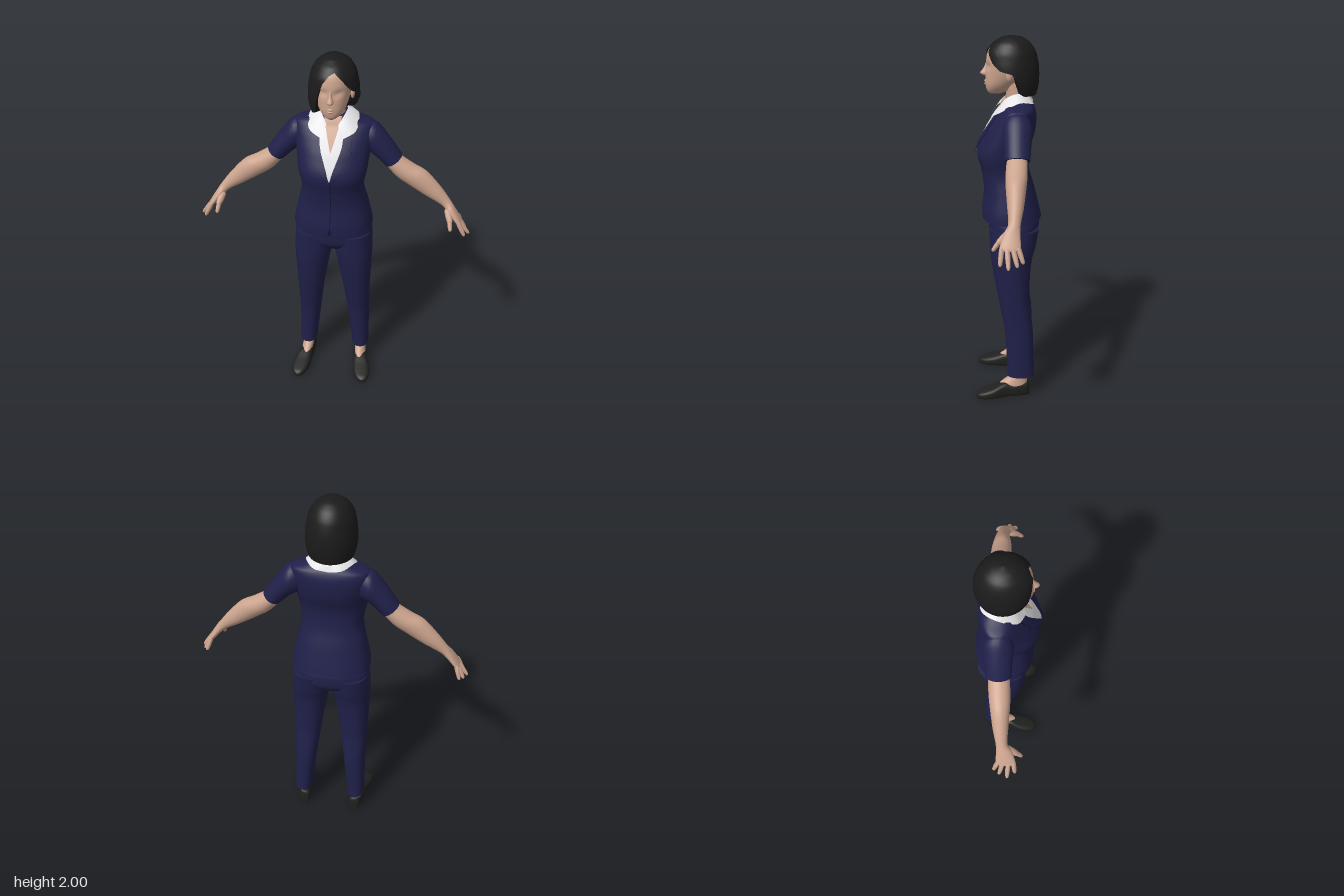
import * as THREE from 'three';

const V = (x, y, z) => new THREE.Vector3(x, y, z);
const mat = (name, color, side = THREE.FrontSide) => {
  const m = new THREE.MeshStandardMaterial({ color, side });
  m.name = name;
  return m;
};

// Smoothly resample a table of rows, k steps per interval
function dense(rows, k = 5) {
  const out = [];
  for (let i = 0; i < rows.length - 1; i++) {
    const [a, b, c, d] = [i - 1, i, i + 1, i + 2].map(j => rows[Math.min(Math.max(j, 0), rows.length - 1)]);
    for (let s = 0; s < k; s++) {
      const t = s / k;
      out.push(b.map((_, q) => 0.5 * (2 * b[q] + (c[q] - a[q]) * t + (2 * a[q] - 5 * b[q] + 4 * c[q] - d[q]) * t * t
        + (3 * b[q] - a[q] - 3 * c[q] + d[q]) * t * t * t)));
    }
  }
  out.push(rows[rows.length - 1]);
  return out;
}

// Linear lookup in a table whose first column rises
function at(rows, y) {
  let i = 0;
  while (i < rows.length - 2 && rows[i + 1][0] < y) i++;
  const t = Math.min(Math.max((y - rows[i][0]) / (rows[i + 1][0] - rows[i][0]), 0), 1);
  return rows[i].map((a, q) => a + (rows[i + 1][q] - a) * t);
}

const pow = (a, e) => Math.sign(a) * Math.abs(a) ** e;

// Superellipse ring around centre c with half axes u and v
function ring(c, u, v, e = 1, n = 32) {
  return Array.from({ length: n }, (_, j) => {
    const a = j / n * Math.PI * 2;
    return c.clone().addScaledVector(u, pow(Math.cos(a), e)).addScaledVector(v, pow(Math.sin(a), e));
  });
}

function meshFrom(name, pts, idx, material) {
  const g = new THREE.BufferGeometry().setFromPoints(pts);
  g.setIndex(idx);
  g.computeVertexNormals();
  const m = new THREE.Mesh(g, material);
  m.name = name;
  return m;
}

// Closed skin over a list of rings, turned so it faces outward
function loft(name, rings, material) {
  const n = rings[0].length, pts = rings.flat(), idx = [];
  for (let i = 0; i < rings.length - 1; i++) for (let j = 0; j < n; j++) {
    const a = i * n + j, b = i * n + (j + 1) % n;
    idx.push(a, b, a + n, b, b + n, a + n);
  }
  [rings[0], rings[rings.length - 1]].forEach((r, e) => {
    const base = pts.length;
    pts.push(...r.map(p => p.clone()), r.reduce((s, p) => s.add(p), V(0, 0, 0)).divideScalar(n));
    for (let j = 0; j < n; j++) {
      const a = base + j, b = base + (j + 1) % n;
      idx.push(base + n, e ? a : b, e ? b : a);
    }
  });
  let vol = 0;
  for (let i = 0; i < idx.length; i += 3) vol += pts[idx[i]].dot(pts[idx[i + 1]].clone().cross(pts[idx[i + 2]]));
  return meshFrom(name, pts, vol < 0 ? idx.reverse() : idx, material);
}

// Upright form from rows [y, halfWidth, zFront, zBack, centreX]
const body = (name, rows, m, e = 1, n = 40) => loft(name, dense(rows).map(([y, w, f, b, x = 0]) =>
  ring(V(x, y, (f + b) / 2), V(w, 0, 0), V(0, 0, (f - b) / 2), e, n)), m);

// Limb from rows [topX, topY, bottomX, bottomY, centreZ, halfDepth]
const limb = (name, rows, m, e = 1) => loft(name, dense(rows).map(([x1, y1, x2, y2, z, h]) =>
  ring(V((x1 + x2) / 2, (y1 + y2) / 2, z), V((x1 - x2) / 2, (y1 - y2) / 2, 0), V(0, 0, h), e, 24)), m);

// Rounded finger segment from p to q
function finger(name, p, q, r, m) {
  const d = q.clone().sub(p), u = d.clone().normalize().cross(V(0, 0.3, 1)).normalize(), v = d.clone().normalize().cross(u);
  return loft(name, [[0, 0.7], [0.1, 1], [0.5, 1], [0.85, 0.8], [0.96, 0.55], [1, 0.15]].map(([t, s]) =>
    ring(p.clone().addScaledVector(d, t), u.clone().multiplyScalar(r * s), v.clone().multiplyScalar(r * s), 1, 10)), m);
}

// Grid of points, counted along rows
function sheet(name, grid, m) {
  const n = grid[0].length, idx = [];
  for (let i = 0; i < grid.length - 1; i++) for (let j = 0; j < n - 1; j++) {
    const a = i * n + j;
    idx.push(a, a + n, a + 1, a + 1, a + n, a + n + 1);
  }
  return meshFrom(name, grid.flat(), idx, m);
}

function mirrored(mesh) {
  const g = mesh.geometry.clone().scale(-1, 1, 1);
  g.setIndex(Array.from(g.index.array).reverse());
  const m = new THREE.Mesh(g, mesh.material);
  m.name = mesh.name.replace('left', 'right');
  return m;
}

export function createModel() {
  const navy = mat('navy cloth', 0x20204a), seam = mat('dark seam', 0x14142e), skin = mat('skin', 0xcba38d);
  const black = mat('black hair', 0x1b1b1b), leather = mat('shoe leather', 0x20201e);
  const white = mat('white shirt', 0xe4e4e6, THREE.DoubleSide);
  const model = new THREE.Group();
  model.name = 'woman in suit';
  const add = (...m) => model.add(...m);
  const pair = (...ms) => ms.forEach(m => add(m, mirrored(m)));

  // Jacket body
  const torso = [[1.045, 0.212, 0.14, -0.178], [1.1, 0.205, 0.14, -0.165], [1.2, 0.182, 0.13, -0.14], [1.3, 0.162, 0.142, -0.112],
    [1.4, 0.178, 0.163, -0.108], [1.5, 0.19, 0.125, -0.138], [1.57, 0.2, 0.085, -0.147], [1.61, 0.203, 0.058, -0.145],
    [1.64, 0.195, 0.035, -0.135], [1.66, 0.14, 0.025, -0.122], [1.68, 0.09, 0.013, -0.112], [1.69, 0.05, -0.005, -0.095]];
  const E = 0.85, torsoRows = dense(torso);
  add(body('jacket', torso, navy, E, 48));

  // Thin panels that follow the jacket front, from rows [y, xLeft, xRight]
  const frontZ = (x, y) => {
    const [, w, f, b] = at(torsoRows, y), c = Math.min(Math.abs(x) / w, 1) ** (1 / E);
    return (f + b) / 2 + (f - b) / 2 * Math.sqrt(1 - c * c) ** E;
  };
  const panel = (name, rows, off, m) => {
    const grid = [];
    for (let i = 0; i <= 32; i++) {
      const y = rows[0][0] + (rows[rows.length - 1][0] - rows[0][0]) * i / 32, [, a, b] = at(rows, y);
      grid.push(Array.from({ length: 13 }, (_, j) => {
        const x = a + (b - a) * j / 12;
        return V(x, y, frontZ(x, y) + off);
      }));
    }
    return sheet(name, grid.reverse(), m);
  };
  add(panel('shirt front', [[1.392, -0.002, 0.008], [1.5, -0.042, 0.042], [1.6, -0.068, 0.068], [1.665, -0.07, 0.07]], 0.004, white));
  add(panel('open neckline', [[1.53, -0.001, 0.001], [1.64, -0.034, 0.034], [1.685, -0.045, 0.045]], 0.008, skin));
  add(panel('jacket closing', [[1.046, -0.014, 0.008], [1.085, -0.002, 0.002], [1.39, 0.004, 0.008]], 0.003, seam));
  const lapel = [[1.385, 0.0, 0.012], [1.45, 0.018, 0.055], [1.5, 0.037, 0.085], [1.53, 0.048, 0.106], [1.545, 0.052, 0.09],
    [1.56, 0.056, 0.1], [1.62, 0.062, 0.1]];
  pair(panel('left lapel edge', lapel.map(([y, a, b]) => [y, a, b + 0.004]), 0.008, seam), panel('left lapel', lapel, 0.011, navy));

  // Shirt collar, half a band from the nape to the front point
  const curve = pts => new THREE.CatmullRomCurve3(pts.map(p => V(...p))).getPoints(20);
  const upper = curve([[0, 1.7, -0.108], [0.05, 1.71, -0.088], [0.068, 1.712, -0.04], [0.055, 1.69, 0.008], [0.03, 1.65, 0.04]]);
  const lower = curve([[0, 1.652, -0.13], [0.07, 1.662, -0.126], [0.122, 1.676, -0.06], [0.118, 1.625, 0.046], [0.045, 1.59, 0.09]]);
  pair(sheet('left collar', [upper, upper.map((p, i) => p.clone().lerp(lower[i], 0.5).add(V(0, 0.006, 0))), lower], white));

  // Sleeves and arms
  pair(limb('left sleeve', [[0.13, 1.62, 0.13, 1.49, -0.045, 0.05], [0.205, 1.638, 0.18, 1.475, -0.047, 0.075],
    [0.282, 1.555, 0.225, 1.44, -0.046, 0.069], [0.35, 1.458, 0.266, 1.4, -0.045, 0.064]], navy));
  pair(limb('left arm', [[0.32, 1.475, 0.255, 1.42, -0.045, 0.05], [0.346, 1.45, 0.275, 1.395, -0.043, 0.052],
    [0.42, 1.405, 0.325, 1.34, -0.04, 0.054], [0.485, 1.37, 0.39, 1.295, -0.037, 0.05], [0.56, 1.29, 0.48, 1.238, -0.034, 0.04],
    [0.612, 1.222, 0.57, 1.187, -0.028, 0.03], [0.638, 1.185, 0.605, 1.155, -0.016, 0.04],
    [0.674, 1.128, 0.65, 1.105, -0.008, 0.05], [0.684, 1.108, 0.665, 1.094, -0.008, 0.045]], skin));
  [[-0.045, 0.69, 1.045, -0.07], [-0.02, 0.712, 1.036, -0.042], [0.006, 0.73, 1.03, 0], [0.031, 0.705, 1.038, 0.04]].forEach(([z, x, y, tz]) =>
    pair(finger('left finger', V(0.665, 1.118, z), V(x, y, tz), 0.0125, skin)));
  pair(finger('left thumb base', V(0.605, 1.172, -0.005), V(0.625, 1.118, 0.055), 0.018, skin));
  pair(finger('left thumb', V(0.62, 1.132, 0.042), V(0.628, 1.085, 0.076), 0.012, skin));

  // Trousers
  add(body('trouser seat', [[1.1, 0.17, 0.09, -0.13], [1.04, 0.2, 0.108, -0.162], [1.0, 0.209, 0.106, -0.168],
    [0.95, 0.208, 0.1, -0.16], [0.91, 0.17, 0.075, -0.125], [0.885, 0.1, 0.04, -0.08]], navy, 0.9));
  const leg = [[1.0, 0.0, 0.207, 0.1, -0.165], [0.9, 0.002, 0.215, 0.097, -0.148], [0.8, 0.022, 0.213, 0.088, -0.125],
    [0.6, 0.055, 0.207, 0.054, -0.115], [0.5, 0.068, 0.205, 0.035, -0.126], [0.4, 0.08, 0.204, 0.018, -0.137],
    [0.2, 0.102, 0.206, 0.006, -0.142], [0.13, 0.108, 0.207, 0.005, -0.145]];
  pair(body('left trouser leg', leg.map(([y, a, b, f, k]) => [y, (b - a) / 2, f, k, (a + b) / 2]), navy, 0.88));

  // Feet and shoes
  pair(body('left ankle', [[0.2, 0.03, -0.03, -0.11, 0.157], [0.13, 0.03, -0.015, -0.11, 0.157], [0.1, 0.031, 0.02, -0.108, 0.159],
    [0.075, 0.032, 0.05, -0.105, 0.163], [0.04, 0.032, 0.06, -0.1, 0.165]], skin));
  const shoe = [[-0.12, 0.15, 0.01, 0.06], [-0.11, 0.152, 0.03, 0.086], [-0.07, 0.157, 0.038, 0.086], [-0.02, 0.163, 0.04, 0.082],
    [0.02, 0.168, 0.042, 0.088], [0.08, 0.18, 0.05, 0.066], [0.13, 0.187, 0.046, 0.05], [0.165, 0.192, 0.031, 0.038], [0.18, 0.193, 0.012, 0.026]];
  pair(loft('left shoe', dense(shoe).map(([z, x, w, h]) => ring(V(x, h / 2, z), V(w, 0, 0), V(0, h / 2, 0), 0.65, 28)), leather));

  // Neck and head with shallow eye sockets
  add(body('neck', [[1.58, 0.05, 0.03, -0.09], [1.64, 0.056, 0.02, -0.1], [1.69, 0.055, 0.01, -0.1], [1.74, 0.053, 0.015, -0.095],
    [1.8, 0.05, 0.02, -0.09]], skin));
  const head = body('head', [[1.705, 0.02, 0.095, 0.04], [1.72, 0.042, 0.109, 0.0], [1.75, 0.064, 0.116, -0.03], [1.79, 0.08, 0.117, -0.08],
    [1.84, 0.09, 0.114, -0.11], [1.89, 0.093, 0.11, -0.12], [1.93, 0.088, 0.098, -0.115], [1.96, 0.07, 0.07, -0.09], [1.98, 0.04, 0.03, -0.06]], skin, 0.93);
  const p = head.geometry.attributes.position;
  for (let i = 0; i < p.count; i++) if (p.getZ(i) > 0.04) {
    const dx = (Math.abs(p.getX(i)) - 0.036) / 0.02, dy = (p.getY(i) - 1.848) / 0.016;
    p.setZ(i, p.getZ(i) - 0.011 * Math.exp(-dx * dx - dy * dy));
  }
  head.geometry.computeVertexNormals();
  add(head);
  add(body('nose', [[1.866, 0.007, 0.112, 0.09], [1.835, 0.01, 0.126, 0.09], [1.81, 0.017, 0.143, 0.09], [1.797, 0.014, 0.126, 0.09]], skin, 1, 16));
  add(body('lips', [[1.776, 0.006, 0.117, 0.08], [1.769, 0.023, 0.123, 0.08], [1.762, 0.022, 0.119, 0.08], [1.755, 0.02, 0.123, 0.08],
    [1.747, 0.008, 0.117, 0.08]], skin, 1, 20));
  const ear = new THREE.Mesh(new THREE.SphereGeometry(1, 14, 10).scale(0.011, 0.03, 0.017).translate(0.094, 1.81, -0.006), skin);
  ear.name = 'left ear';
  pair(ear);

  // Bobbed hair: a dome whose lower edge changes height around the head
  const dome = [[1.69, 0.108, 0.09, -0.14], [1.72, 0.12, 0.1, -0.152], [1.78, 0.13, 0.118, -0.16], [1.85, 0.126, 0.121, -0.158],
    [1.92, 0.112, 0.112, -0.142], [1.965, 0.085, 0.076, -0.112], [1.99, 0.048, 0.035, -0.072], [2.0, 0.0, -0.02, -0.02]];
  const edge = [[-90, 1.7], [-28, 1.705], [-15, 1.76], [0, 1.82], [25, 1.835], [45, 1.87], [65, 1.922], [80, 1.948], [95, 1.935],
    [112, 1.89], [124, 1.8], [132, 1.725], [150, 1.71], [180, 1.705], [270, 1.7]];
  const hairRing = (v, s = 1) => Array.from({ length: 72 }, (_, j) => {
    const deg = -90 + j * 5, a = deg * Math.PI / 180, y = 2 - (2 - at(edge, deg)[1]) * v * v;
    const [, w, f, b] = at(dome, y);
    return V(w * Math.cos(a) * s, y, (f + b) / 2 + (f - b) / 2 * Math.sin(a) * s);
  });
  const rings = Array.from({ length: 16 }, (_, i) => hairRing((i + 1) / 16));
  add(loft('hair', [...rings, hairRing(1), hairRing(1, 0.3)], black));
  return model;
}
